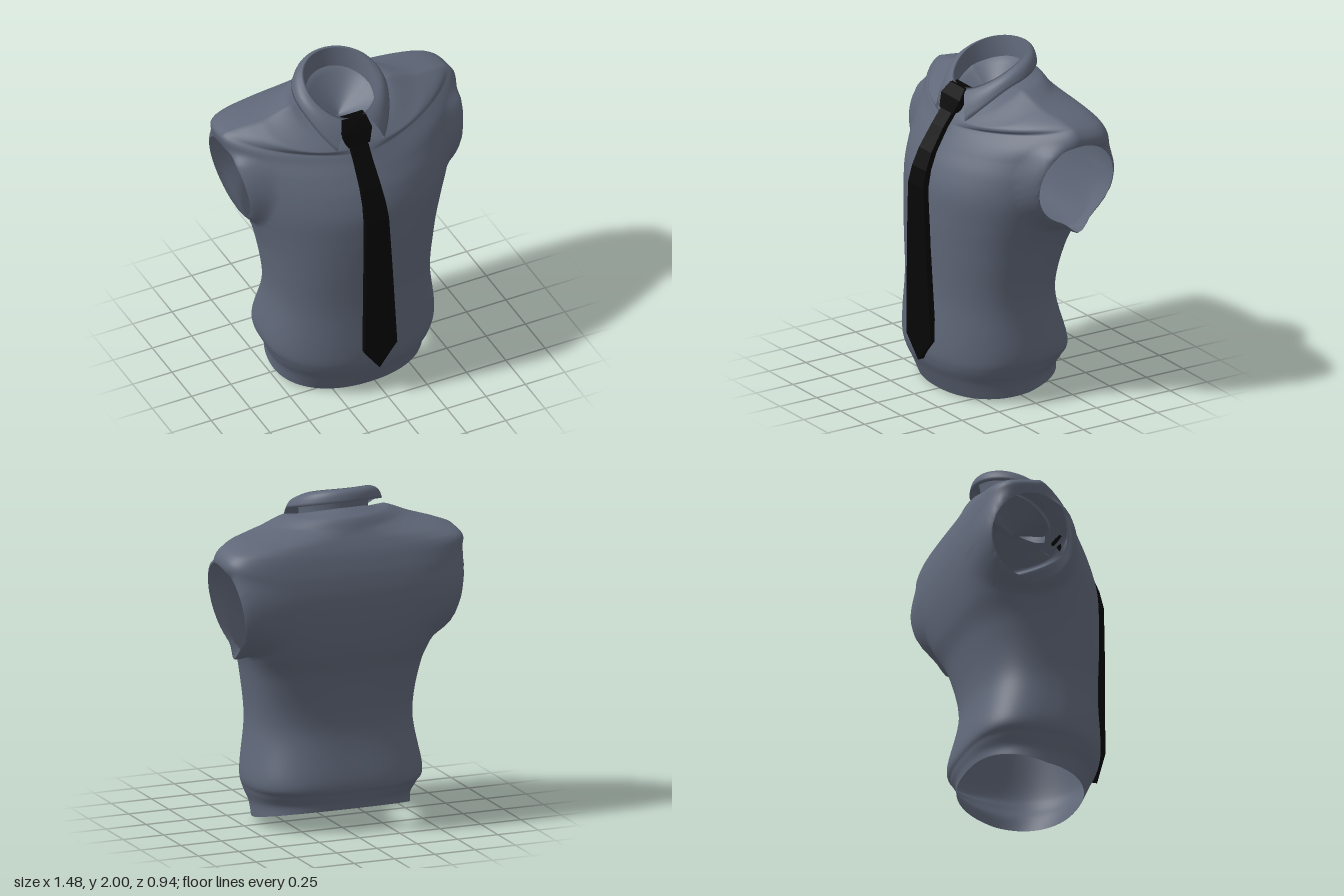
import * as THREE from 'three';

const shirtMat = new THREE.MeshStandardMaterial({ color: 0x5f6778, side: THREE.DoubleSide });
shirtMat.name = 'slate cloth';
const tieMat = new THREE.MeshStandardMaterial({ color: 0x060606, side: THREE.DoubleSide });
tieMat.name = 'black cloth';

const { clamp, lerp, smoothstep } = THREE.MathUtils;

// Body rings, hem to neck lining: [ySide, yFront, yBack, xMin, xMax, zFront, zBack]
const RINGS = [
  [0.045, 0, 0.13, -0.49, 0.43, 0.33, -0.34],
  [0.12, 0.1, 0.17, -0.495, 0.435, 0.375, -0.345],
  [0.2, 0.19, 0.22, -0.525, 0.465, 0.415, -0.358],
  [0.3, 0.3, 0.3, -0.55, 0.485, 0.428, -0.37],
  [0.6, 0.6, 0.6, -0.515, 0.45, 0.412, -0.315],
  [0.9, 0.9, 0.9, -0.54, 0.49, 0.42, -0.36],
  [1.08, 1.08, 1.08, -0.58, 0.55, 0.425, -0.425],
  [1.25, 1.25, 1.25, -0.63, 0.62, 0.42, -0.46],
  [1.4, 1.38, 1.4, -0.67, 0.67, 0.38, -0.468],
  [1.52, 1.48, 1.52, -0.7, 0.7, 0.325, -0.455],
  [1.62, 1.55, 1.6, -0.73, 0.74, 0.282, -0.435],
  [1.69, 1.59, 1.66, -0.73, 0.71, 0.26, -0.415],
  [1.735, 1.615, 1.71, -0.63, 0.62, 0.245, -0.39],
  [1.775, 1.635, 1.76, -0.49, 0.45, 0.232, -0.36],
  [1.83, 1.655, 1.84, -0.34, 0.28, 0.215, -0.315],
  [1.82, 1.72, 1.88, -0.235, 0.165, 0.145, -0.235],
  [1.66, 1.66, 1.66, -0.036, -0.034, -0.059, -0.061],
];

// Smooth interpolation between the body rings, straight inside the neck
function ringAt(t) {
  const last = RINGS.length - 1, i = Math.min(Math.floor(t), last - 1), f = t - i;
  return RINGS[i].map((b, c) => {
    const a = RINGS[Math.max(0, i - 1)][c], d = RINGS[i + 1][c];
    const e = RINGS[Math.min(last, i + 2)][c];
    if (i >= last - 2) return b + (d - b) * f;
    return b + 0.5 * f * (d - a + f * (2 * a - 5 * b + 4 * d - e + f * (3 * (b - d) + e - a)));
  });
}

function makeGeometry(positions, index) {
  const g = new THREE.BufferGeometry();
  g.setAttribute('position', new THREE.Float32BufferAttribute(positions, 3));
  g.setIndex(index);
  g.computeVertexNormals();
  return g;
}

// Shirt body: stacked rings, clipped by a round opening for each arm
function bodyGeometry() {
  const N = 112, SUB = 7, rows = (RINGS.length - 1) * SUB;
  const hole = { y: 1.365, z: -0.16, r: 0.247 };
  const points = [], index = [], cuts = new Map();
  for (let j = 0; j <= rows; j++) {
    const [yS, yF, yB, x0, x1, zF, zB] = ringAt(j / SUB);
    // wide rings get a squarer back and a rounder chest
    const w = (x1 - x0) / 2, wide = clamp((w - 0.5) / 0.2, 0, 1);
    const nF = 2.2 - wide * (0.4 + 0.35 * smoothstep(yS, 1.5, 1.72));
    const nB = clamp(2 + (w - 0.42) * 11, 2, 5);
    const zM = (zF + zB) / 2 - 0.055 * wide;
    for (let i = 0; i < N; i++) {
      const a = (i / N) * Math.PI * 2, c = Math.cos(a), s = Math.sin(a);
      const n = s > 0 ? nF : nB;
      const r = Math.pow(Math.abs(c) ** n + Math.abs(s) ** n, -1 / n);
      const u = Math.abs(s) * r;
      points.push(new THREE.Vector3(
        (x0 + x1) / 2 + w * c * r,
        yS + ((s > 0 ? yF : yB) - yS) * u,
        zM + (s > 0 ? zF - zM : zB - zM) * u));
    }
  }
  // distance outside the arm opening, negative within it
  const gap = p => (Math.abs(p.x) > 0.4 ? Math.hypot(p.y - hole.y, p.z - hole.z) - hole.r : 1);
  const gaps = points.map(gap);
  const cut = (a, b) => {
    const key = Math.min(a, b) + '_' + Math.max(a, b);
    if (!cuts.has(key)) {
      cuts.set(key, points.length);
      points.push(points[a].clone().lerp(points[b], gaps[a] / (gaps[a] - gaps[b])));
    }
    return cuts.get(key);
  };
  const tri = (...corners) => {
    const poly = [];
    corners.forEach((a, k) => {
      const b = corners[(k + 1) % 3];
      if (gaps[a] >= 0) poly.push(a);
      if (gaps[a] >= 0 !== gaps[b] >= 0) poly.push(cut(a, b));
    });
    for (let k = 2; k < poly.length; k++) index.push(poly[0], poly[k - 1], poly[k]);
  };
  for (let j = 0; j < rows; j++) {
    for (let i = 0; i < N; i++) {
      const a = j * N + i, b = j * N + ((i + 1) % N);
      tri(a, a + N, b);
      tri(b, a + N, b + N);
    }
  }
  // short sleeves: the cloth round each opening is drawn outwards
  for (const p of points) {
    const near = 1 - smoothstep(gap(p), 0, 0.075);
    if (near === 0 || p.y > 1.64) continue;
    const reach = 0.63 + 0.19 * (p.y - 1.12);
    const fade = 1 - smoothstep(p.y, 1.56, 1.64);
    const side = Math.sign(p.x);
    p.x = side * lerp(Math.abs(p.x), Math.max(Math.abs(p.x), reach), near * fade);
    // loose flap under the left arm
    if (side > 0 && p.y < 1.2) {
      const flap = near * Math.exp(-(((p.z + 0.2) / 0.07) ** 2));
      p.y -= 0.07 * flap;
      p.x += 0.02 * flap;
    }
  }
  return makeGeometry(points.flatMap(p => [p.x, p.y, p.z]), index);
}

// Folded collar: a strip swept round the neck, open at the front with two points
function collarGeometry() {
  const N = 64, M = 8, W = M + 3, cx = -0.037, cz = -0.04, pos = [], index = [];
  for (let i = 0; i <= N; i++) {
    const s = (i / N) * 2 - 1;
    const pIn = Math.PI + s * Math.PI * (168 / 180);
    const pOut = Math.PI + s * Math.PI * (148 / 180);
    const zi = cz + 0.205 * Math.cos(pIn);
    const inner = new THREE.Vector3(
      cx + 0.205 * Math.sin(pIn),
      1.878 - 0.49 * zi + 0.03 * Math.sin(pIn) ** 2,
      zi);
    const u = Math.cos(pOut), f = Math.max(u, 0);
    const outer = new THREE.Vector3(
      cx + 0.28 * Math.sin(pOut),
      1.86 - 0.07 * u - 0.22 * f * f,
      cz + (0.26 + 0.07 * f) * u);
    // stand inside the neck, then the fold falling outwards
    pos.push(cx + (inner.x - cx) * 0.95, inner.y - 0.13, cz + (inner.z - cz) * 0.95);
    for (let k = 0; k <= M; k++) {
      const t = k / M, bulge = Math.sin(t * Math.PI);
      const p = inner.clone().lerp(outer, t);
      pos.push(
        p.x + 0.012 * bulge * Math.sin(pOut),
        p.y + 0.018 * bulge,
        p.z + 0.012 * bulge * u);
    }
    // hem of the fold tucked back under
    pos.push(cx + (outer.x - cx) * 0.93, outer.y - 0.004, cz + (outer.z - cz) * 0.93);
  }
  for (let i = 0; i < N; i++) {
    for (let k = 0; k < W - 1; k++) {
      const a = i * W + k, b = a + W;
      index.push(a, b, a + 1, b, b + 1, a + 1);
    }
  }
  return makeGeometry(pos, index);
}

// Flat-faced strip from rows of [y, xMin, xMax, zFront], twisting slightly towards the bottom
function stripGeometry(rows, depth) {
  const pos = [], index = [];
  for (const [y, x0, x1, z] of rows) {
    const z1 = z - 0.14 * (x1 - x0) * (1 - y / 1.8);
    pos.push(x0, y, z, x1, y, z1, x1, y, z1 - depth, x0, y, z - depth);
  }
  for (let j = 0; j < rows.length - 1; j++) {
    for (let k = 0; k < 4; k++) {
      const a = j * 4 + k, b = j * 4 + ((k + 1) % 4);
      index.push(a, a + 4, b, b, a + 4, b + 4);
    }
  }
  const e = (rows.length - 1) * 4;
  index.push(0, 1, 2, 0, 2, 3, e, e + 2, e + 1, e, e + 3, e + 2);
  const g = makeGeometry(pos, index).toNonIndexed();
  g.computeVertexNormals();
  return g;
}

export function createModel() {
  const group = new THREE.Group();
  group.name = 'shirtAndTie';
  const add = (name, geometry, material) => {
    const mesh = new THREE.Mesh(geometry, material);
    mesh.name = name;
    group.add(mesh);
  };
  add('shirtBody', bodyGeometry(), shirtMat);
  add('collar', collarGeometry(), shirtMat);
  // tie blade and knot, listed top to bottom
  add('tieBlade', stripGeometry([
    [1.68, -0.11, 0, 0.235],
    [1.58, -0.11, 0, 0.31],
    [1.45, -0.113, 0.01, 0.395],
    [1.35, -0.116, 0.02, 0.44],
    [1.25, -0.12, 0.028, 0.465],
    [0.9, -0.124, 0.05, 0.47],
    [0.33, -0.13, 0.087, 0.47],
    [0.19, -0.031, -0.029, 0.455],
  ], 0.036), tieMat);
  add('tieKnot', stripGeometry([
    [1.8, -0.125, 0.025, 0.175],
    [1.74, -0.15, 0.04, 0.22],
    [1.66, -0.125, 0.012, 0.25],
  ], 0.05), tieMat);
  return group;
}
